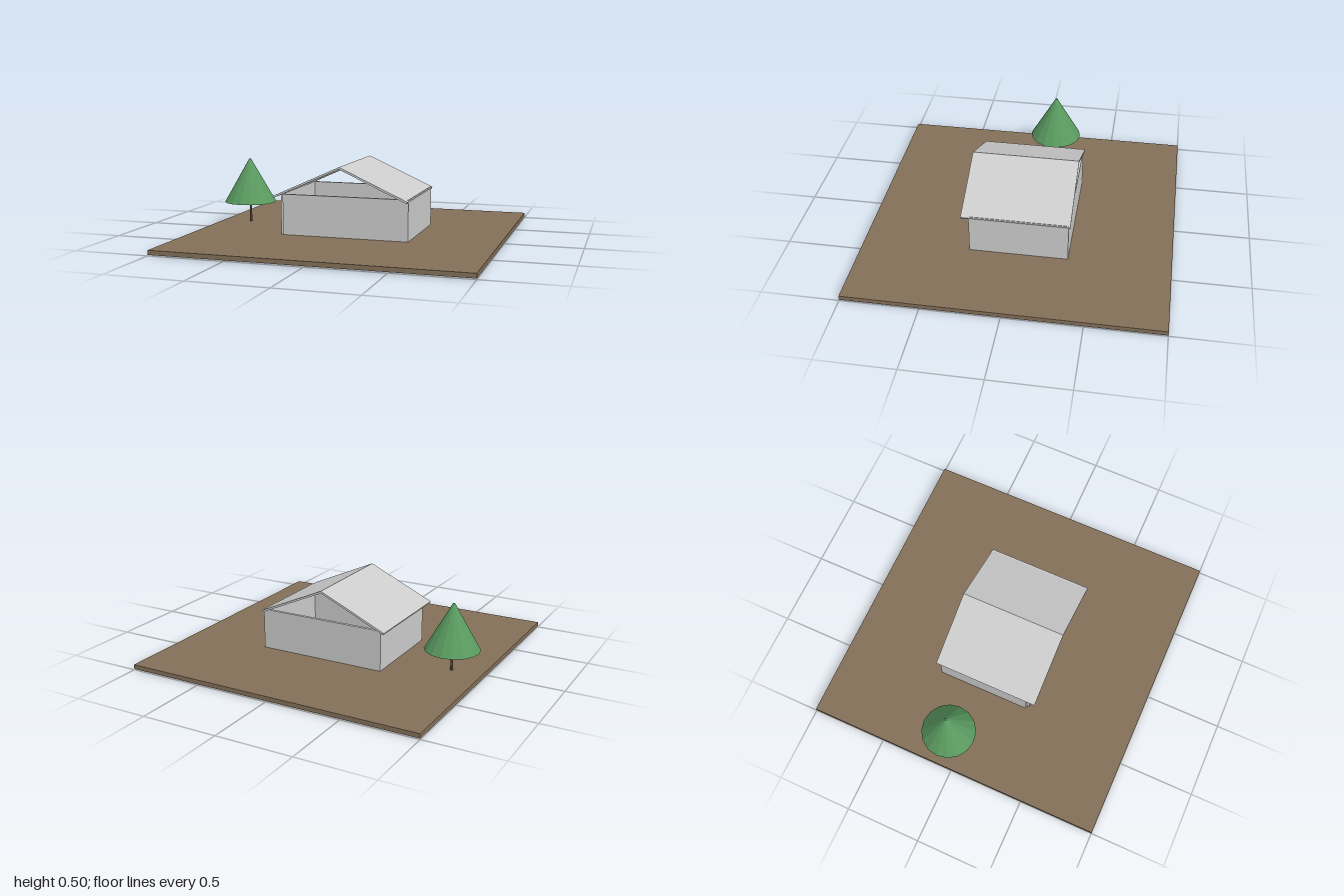
import * as THREE from 'three';

const mat = (name, color, extra = {}) => {
  const m = new THREE.MeshStandardMaterial({ color, ...extra });
  m.name = name;
  return m;
};

export function createModel() {
  const model = new THREE.Group();
  model.name = 'houseOnPlot';
  const earth = mat('earth', 0x846f58);
  const plaster = mat('plaster', 0xcccccc);
  const bark = mat('bark', 0x75604e, { flatShading: true });
  const leaf = mat('leaf', 0x5a9b60, { flatShading: true });

  const add = (parent, name, geometry, material) => {
    const mesh = new THREE.Mesh(geometry, material);
    mesh.name = name;
    parent.add(mesh);
    return mesh;
  };
  // Box given by its minimum and maximum on each axis
  const box = (parent, name, material, [x0, x1], [y0, y1], [z0, z1]) => {
    const mesh = add(parent, name, new THREE.BoxGeometry(x1 - x0, y1 - y0, z1 - z0), material);
    mesh.position.set((x0 + x1) / 2, (y0 + y1) / 2, (z0 + z1) / 2);
  };

  // Plot of land, with the floor slab showing just below it
  box(model, 'ground', earth, [-1, 1], [0.006, 0.035], [-1, 1]);

  const house = new THREE.Group();
  house.name = 'house';
  model.add(house);
  box(house, 'floorSlab', plaster, [-0.38, 0.42], [0, 0.025], [-0.32, 0.28]);

  // Thin walls around an open interior
  const height = [0.03, 0.302];
  box(house, 'frontWall', plaster, [-0.40, 0.44], height, [0.28, 0.30]);
  box(house, 'backWall', plaster, [-0.42, 0.44], height, [-0.34, -0.32]);
  box(house, 'leftWall', plaster, [0.42, 0.44], height, [-0.32, 0.28]);
  box(house, 'rightWall', plaster, [-0.42, -0.40], height, [-0.32, 0.28]);

  // Gable roof: a thin folded sheet with open ends
  const section = new THREE.Shape([
    [-0.447, 0.296], [-0.442, 0.284], [0, 0.484], [0.442, 0.284], [0.447, 0.296], [0, 0.498],
  ].map(([x, y]) => new THREE.Vector2(x, y)));
  const roof = new THREE.ExtrudeGeometry(section, { depth: 0.7, bevelEnabled: false });
  add(house, 'roof', roof.translate(0, 0, -0.35), plaster);

  // Conifer
  const tree = new THREE.Group();
  tree.name = 'tree';
  tree.position.set(-0.8, 0, -0.1);
  model.add(tree);
  add(tree, 'trunk', new THREE.CylinderGeometry(0.007, 0.01, 0.15, 8), bark).position.y = 0.105;
  add(tree, 'foliage', new THREE.CylinderGeometry(0.007, 0.178, 0.3, 16), leaf).position.y = 0.325;

  return model;
}
